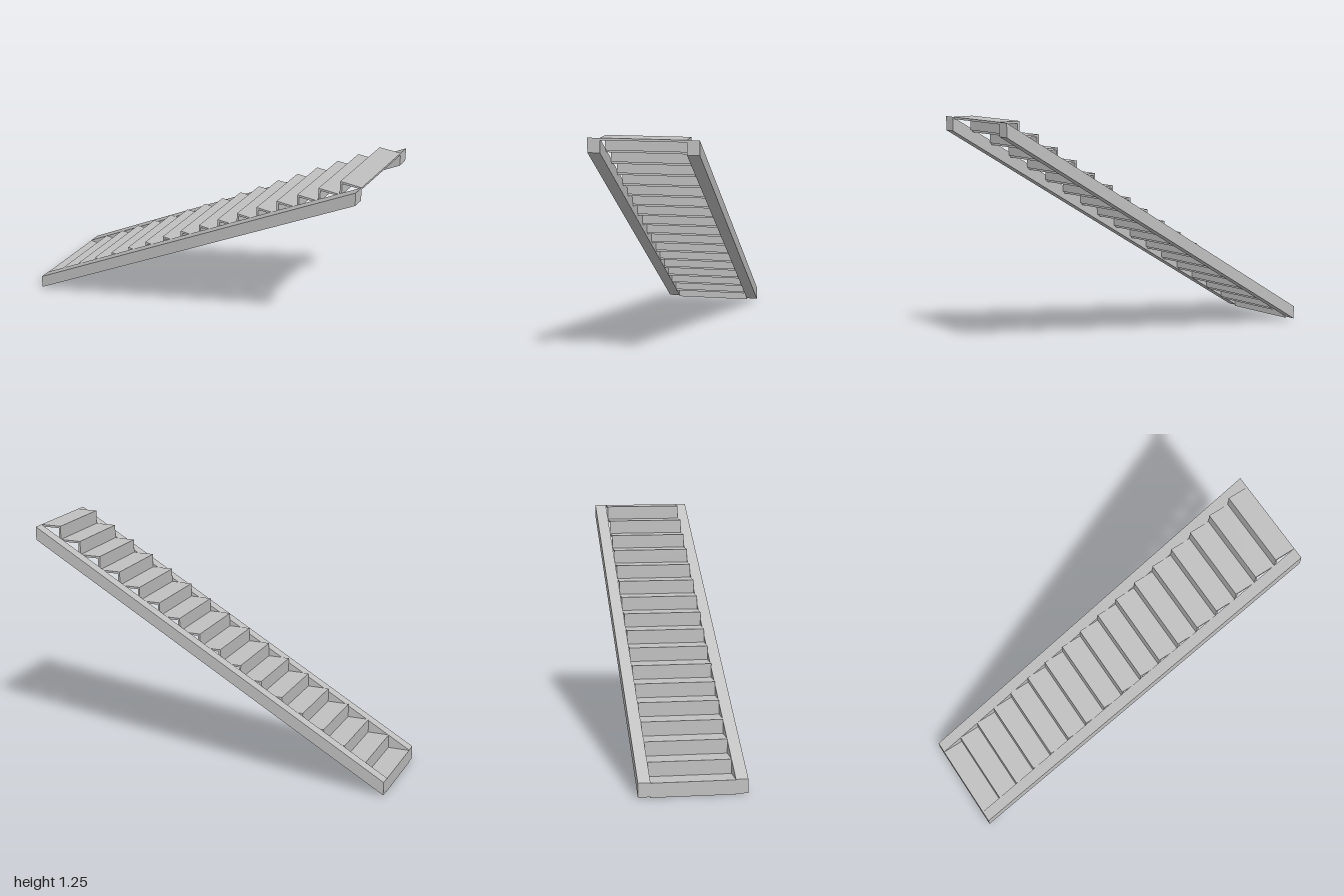
import * as THREE from 'three';

const STEPS = 17;
const RUN = 2 / STEPS;
const RISE = 1.25 / STEPS;
const BOARD = 0.011; // thickness of treads and risers
const INNER = 0.211; // half width between the stringers
const OUTER = 0.273; // half width overall

export function createModel() {
  const group = new THREE.Group();
  group.name = 'staircase';
  const grey = new THREE.MeshStandardMaterial({ color: 0xc0c0c0 });
  grey.name = 'light grey';

  const add = (name, geometry, x, y, z) => {
    const mesh = new THREE.Mesh(geometry, grey);
    mesh.name = name;
    mesh.position.set(x, y, z);
    group.add(mesh);
  };

  // Sloping side beams with upright ends
  const profile = new THREE.Shape([
    new THREE.Vector2(-1, 0.004),
    new THREE.Vector2(1, 1.178),
    new THREE.Vector2(1, 1.25),
    new THREE.Vector2(-1, 0.076),
  ]);
  const stringer = new THREE.ExtrudeGeometry(profile, { depth: OUTER - INNER, bevelEnabled: false });
  add('frontStringer', stringer, 0, 0, INNER);
  add('backStringer', stringer, 0, 0, -OUTER);

  // Each step is a tread with a riser under its leading edge
  const tread = new THREE.BoxGeometry(RUN, BOARD, INNER * 2);
  const riser = new THREE.BoxGeometry(BOARD, RISE - BOARD, INNER * 2);
  for (let i = 0; i < STEPS; i++) {
    const x = -1 + i * RUN;
    const top = (i + 1) * RISE;
    add(`tread${i + 1}`, tread, x + RUN / 2, top - BOARD / 2, 0);
    add(`riser${i + 1}`, riser, x + BOARD / 2, top - (RISE + BOARD) / 2, 0);
  }
  return group;
}
